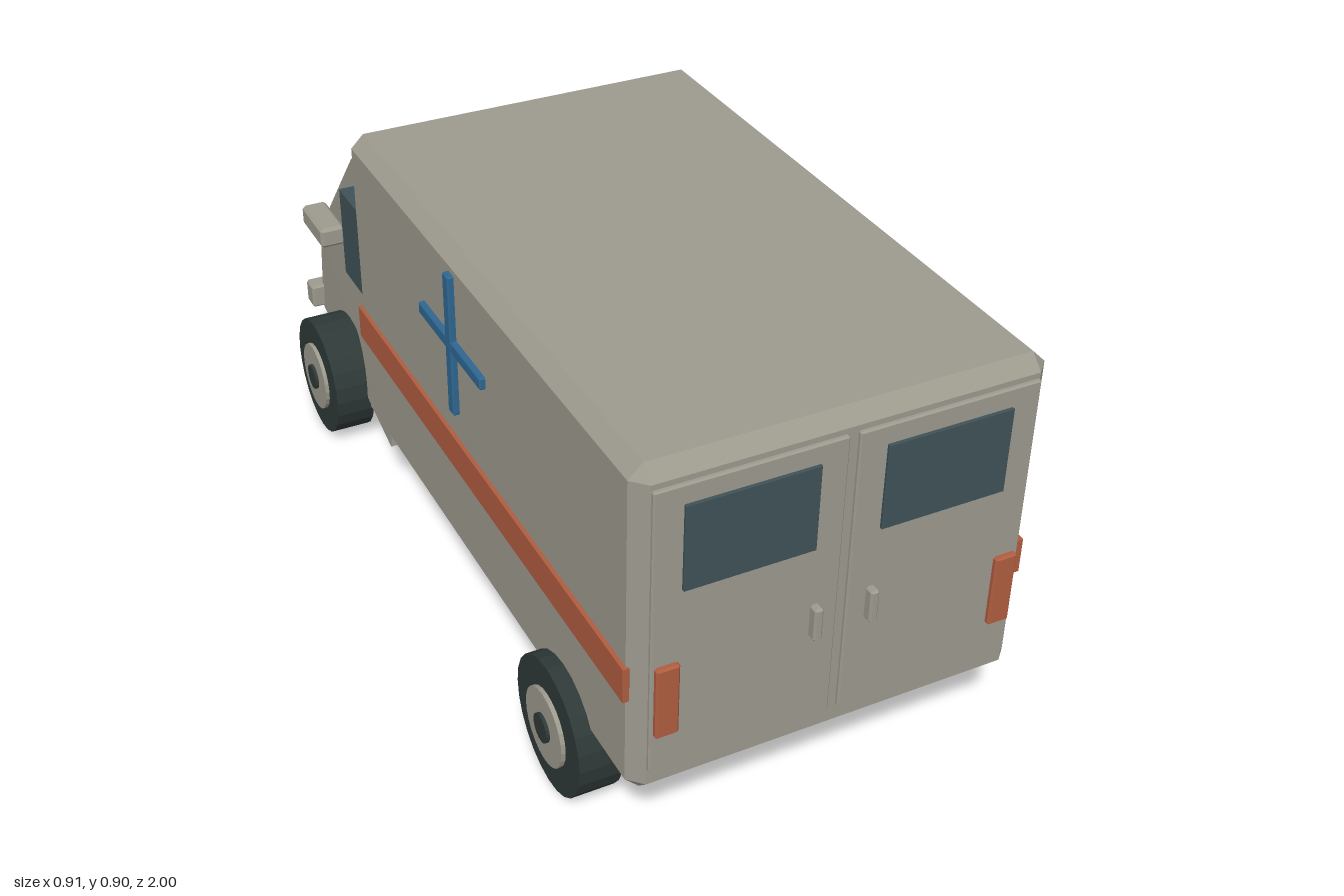
import * as THREE from 'three';
import { ConvexGeometry } from 'three/addons/geometries/ConvexGeometry.js';

const paint = (name, color) => {
  const m = new THREE.MeshStandardMaterial({ color });
  m.name = name;
  return m;
};

export function createModel() {
  const group = new THREE.Group();
  const body = paint('bodyGrey', 0x9d9a8e);
  const glass = paint('darkGlass', 0x3f5257);
  const rubber = paint('rubber', 0x2e3938);
  const orange = paint('orange', 0xb05d40);
  const blue = paint('blue', 0x2f6791);

  const add = (name, geometry, material) => {
    const mesh = new THREE.Mesh(geometry, material);
    mesh.name = name;
    group.add(mesh);
    return mesh;
  };

  // Box between two corners with every edge chamfered by c
  const block = (name, material, [x0, x1], [y0, y1], [z0, z1], c = 0.003) => {
    const half = [(x1 - x0) / 2, (y1 - y0) / 2, (z1 - z0) / 2];
    const points = [];
    for (const sx of [-1, 1]) for (const sy of [-1, 1]) for (const sz of [-1, 1]) {
      for (let axis = 0; axis < 3; axis++) {
        const [x, y, z] = half.map((h, i) => (i === axis ? h : h - c));
        points.push(new THREE.Vector3(sx * x, sy * y, sz * z));
      }
    }
    const mesh = add(name, new ConvexGeometry(points), material);
    mesh.position.set((x0 + x1) / 2, (y0 + y1) / 2, (z0 + z1) / 2);
    return mesh;
  };
  // Range on one side of the centre line
  const span = (side, a, b) => (side > 0 ? [a, b] : [-b, -a]);

  // Rear compartment
  block('compartment', body, [-0.405, 0.405], [0.19, 0.9], [-0.392, 0.967], 0.028);

  // Cab: side profile as z, y, half width
  const profile = [
    [-0.3, 0.14, 0.385], [-0.3, 0.72, 0.352], [-0.62, 0.715, 0.326],
    [-0.967, 0.36, 0.31], [-0.967, 0.14, 0.32],
  ];
  const cabPoints = profile.flatMap(([z, y, w]) =>
    [new THREE.Vector3(-w, y, z), new THREE.Vector3(w, y, z)]);
  add('cab', new ConvexGeometry(cabPoints), body);

  // Windscreen lying on the sloped nose
  const screen = add('windscreen', new THREE.BoxGeometry(0.614, 0.009, 0.235), glass);
  screen.position.set(0, 0.6, -0.733);
  screen.rotation.x = -0.8;

  block('bumper', body, [-0.35, 0.35], [0.145, 0.205], [-1, -0.952], 0.005);

  // Roof light bar
  block('lightBarBase', body, [-0.235, 0.235], [0.752, 0.792], [-0.443, -0.38]);
  block('orangeBeacon', orange, [-0.232, -0.053], [0.79, 0.85], [-0.433, -0.38], 0.005);
  block('blueBeacon', blue, [0.053, 0.232], [0.79, 0.85], [-0.433, -0.38], 0.005);

  for (const s of [-1, 1]) {
    // Side markings
    block('sideStripe', orange, span(s, 0.4, 0.413), [0.405, 0.482], [-0.375, 0.945], 0.001);
    block('crossUpright', blue, span(s, 0.4, 0.418), [0.545, 0.86], [0.177, 0.205]);
    block('crossBar', blue, span(s, 0.4, 0.417), [0.69, 0.717], [0.033, 0.347]);

    // Cab side
    block('sideWindow', glass, span(s, 0.32, 0.381), [0.468, 0.682], [-0.553, -0.385], 0.001);
    block('mirror', body, span(s, 0.376, 0.433), [0.542, 0.59], [-0.685, -0.548], 0.007);
    block('headlight', body, span(s, 0.115, 0.275), [0.255, 0.322], [-0.974, -0.96]);

    // Rear door
    block('rearDoor', body, span(s, 0.01, 0.376), [0.252, 0.861], [0.955, 0.975]);
    block('rearWindow', glass, span(s, 0.065, 0.32), [0.645, 0.822], [0.972, 0.981], 0.001);
    block('doorHandle', body, span(s, 0.048, 0.066), [0.45, 0.521], [0.972, 0.995], 0.004);
    block('tailLight', orange, span(s, 0.323, 0.369), [0.336, 0.492], [0.97, 0.986], 0.004);

    // Wheels: tyre, hub and dark centre cap
    for (const z of [-0.655, 0.683]) {
      const disc = (name, material, radius, inner, outer) => {
        const geometry = new THREE.CylinderGeometry(radius, radius, outer - inner, 24);
        geometry.rotateZ(Math.PI / 2);
        add(name, geometry, material).position.set(s * (inner + outer) / 2, 0.141, z);
      };
      disc('tyre', rubber, 0.141, 0.349, 0.439);
      disc('hub', body, 0.081, 0.42, 0.448);
      disc('hubCap', rubber, 0.03, 0.43, 0.455);
    }
  }
  // Flat facets on the low-poly shapes
  for (const m of [body, glass, rubber, orange, blue]) m.flatShading = true;
  return group;
}
